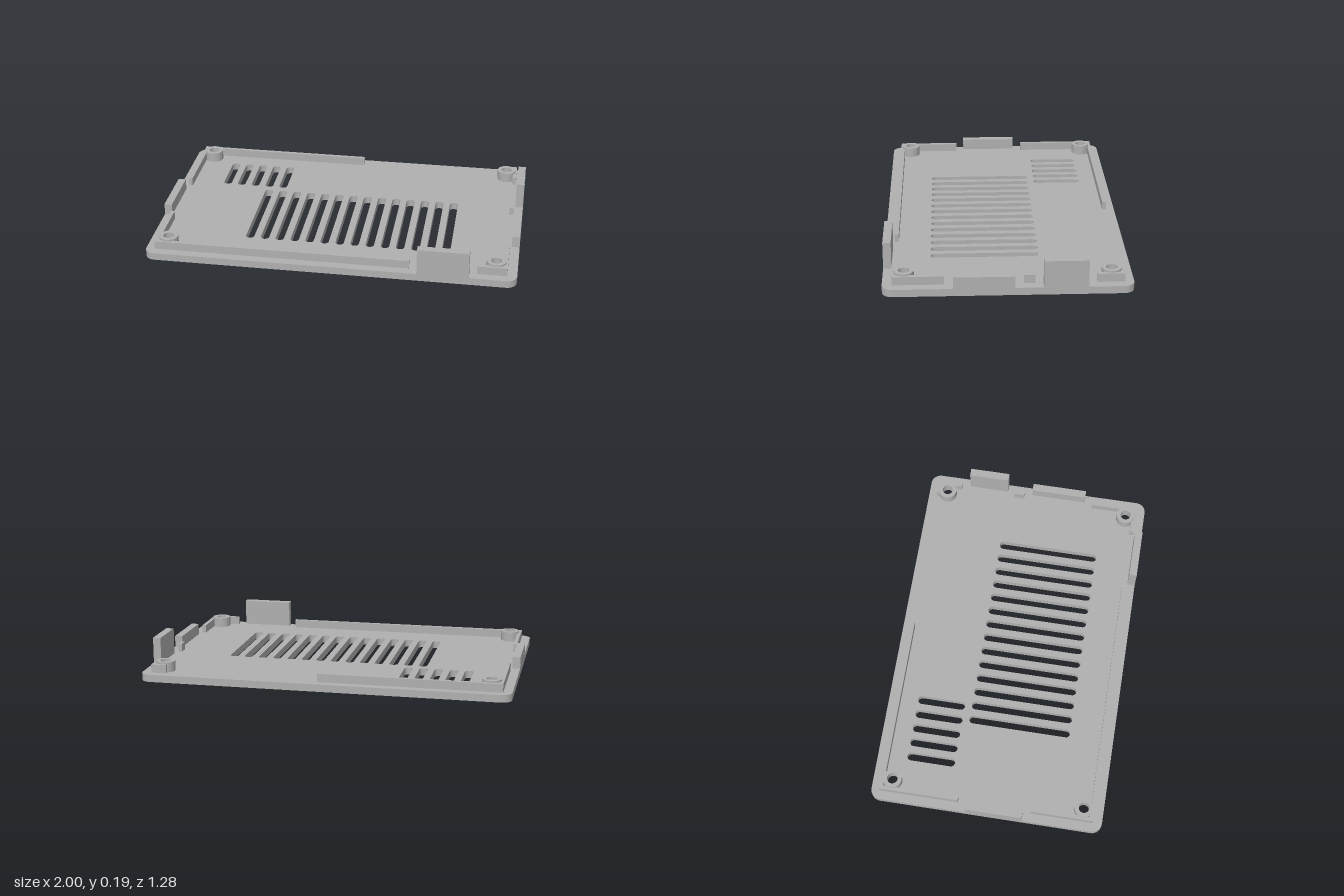
import * as THREE from 'three';

const PLATE_TOP = 0.04;

// Rounded rectangle outline around a centre
function roundedRect(path, cx, cy, w, h, r) {
  const x = w / 2 - r, y = h / 2 - r;
  path.moveTo(cx + w / 2, cy - y);
  path.absarc(cx + x, cy + y, r, 0, Math.PI / 2, false);
  path.absarc(cx - x, cy + y, r, Math.PI / 2, Math.PI, false);
  path.absarc(cx - x, cy - y, r, Math.PI, Math.PI * 1.5, false);
  path.absarc(cx + x, cy - y, r, Math.PI * 1.5, Math.PI * 2, false);
  return path;
}

// Extrude a plan shape (x, -z) upward from y0 to y1
function extrudeUp(shape, y0, y1) {
  const g = new THREE.ExtrudeGeometry(shape, { depth: y1 - y0, bevelEnabled: false, curveSegments: 10 });
  return g.rotateX(-Math.PI / 2).translate(0, y0, 0);
}

export function createModel() {
  const group = new THREE.Group();
  const grey = new THREE.MeshStandardMaterial({ color: 0xb0b0b0 });
  grey.name = 'grey plastic';

  const add = (name, geometry) => {
    const mesh = new THREE.Mesh(geometry, grey);
    mesh.name = name;
    group.add(mesh);
  };
  const wall = (name, x0, x1, z0, z1, top) => {
    const g = new THREE.BoxGeometry(x1 - x0, top - PLATE_TOP, z1 - z0);
    add(name, g.translate((x0 + x1) / 2, (top + PLATE_TOP) / 2, (z0 + z1) / 2));
  };

  // Base plate with vent slots and screw recesses
  const plate = roundedRect(new THREE.Shape(), 0, 0, 2, 1.28, 0.055);
  const slotRow = (count, firstX, z0, z1) => {
    for (let i = 0; i < count; i++) {
      plate.holes.push(roundedRect(new THREE.Path(), firstX + i * 0.083, -(z0 + z1) / 2, 0.046, z1 - z0, 0.0229));
    }
  };
  slotRow(5, -0.735, -0.477, -0.21);
  slotRow(14, -0.471, -0.173, 0.396);

  const screws = [];
  for (const x of [-0.887, 0.887]) for (const z of [-0.53, 0.53]) screws.push([x, z]);
  for (const [x, z] of screws) {
    plate.holes.push(new THREE.Path().absarc(x, -z, 0.046, 0, Math.PI * 2, false));
  }
  add('basePlate', extrudeUp(plate, 0, PLATE_TOP));

  // Screw posts: solid ring with a narrow bore above the recess
  for (const [x, z] of screws) {
    const ring = new THREE.Shape().absarc(x, -z, 0.052, 0, Math.PI * 2, false);
    ring.holes.push(new THREE.Path().absarc(x, -z, 0.029, 0, Math.PI * 2, false));
    add('screwPost', extrudeUp(ring, PLATE_TOP - 0.005, 0.095));
  }

  // Low locating rails set in from the edge
  const rail = 0.085;
  wall('backRail', -0.952, 0.03, -0.594, -0.573, rail);
  wall('frontRail', -0.952, 0.43, 0.568, 0.59, rail);
  wall('rightBackRail', -0.952, -0.931, -0.573, -0.157, rail);
  wall('rightFrontRail', -0.952, -0.931, 0.245, 0.568, rail);
  wall('frontCornerRail', 0.79, 0.948, 0.568, 0.59, rail);
  wall('leftFrontRail', 0.926, 0.948, 0.325, 0.568, rail);
  wall('backCornerRail', 0.865, 0.948, -0.594, -0.573, rail);
  wall('leftBackRail', 0.926, 0.948, -0.573, -0.453, rail);
  wall('leftRailStub', 0.926, 0.948, -0.136, -0.08, rail);

  // Raised tabs flush with the plate edge
  wall('frontTallTab', 0.475, 0.75, 0.597, 0.64, 0.185);
  wall('leftTallTab', 0.957, 1, -0.405, -0.178, 0.185);
  wall('leftLowTab', 0.957, 1, -0.033, 0.28, 0.103);
  wall('rightLowTab', -1, -0.957, -0.11, 0.203, 0.103);

  return group;
}
